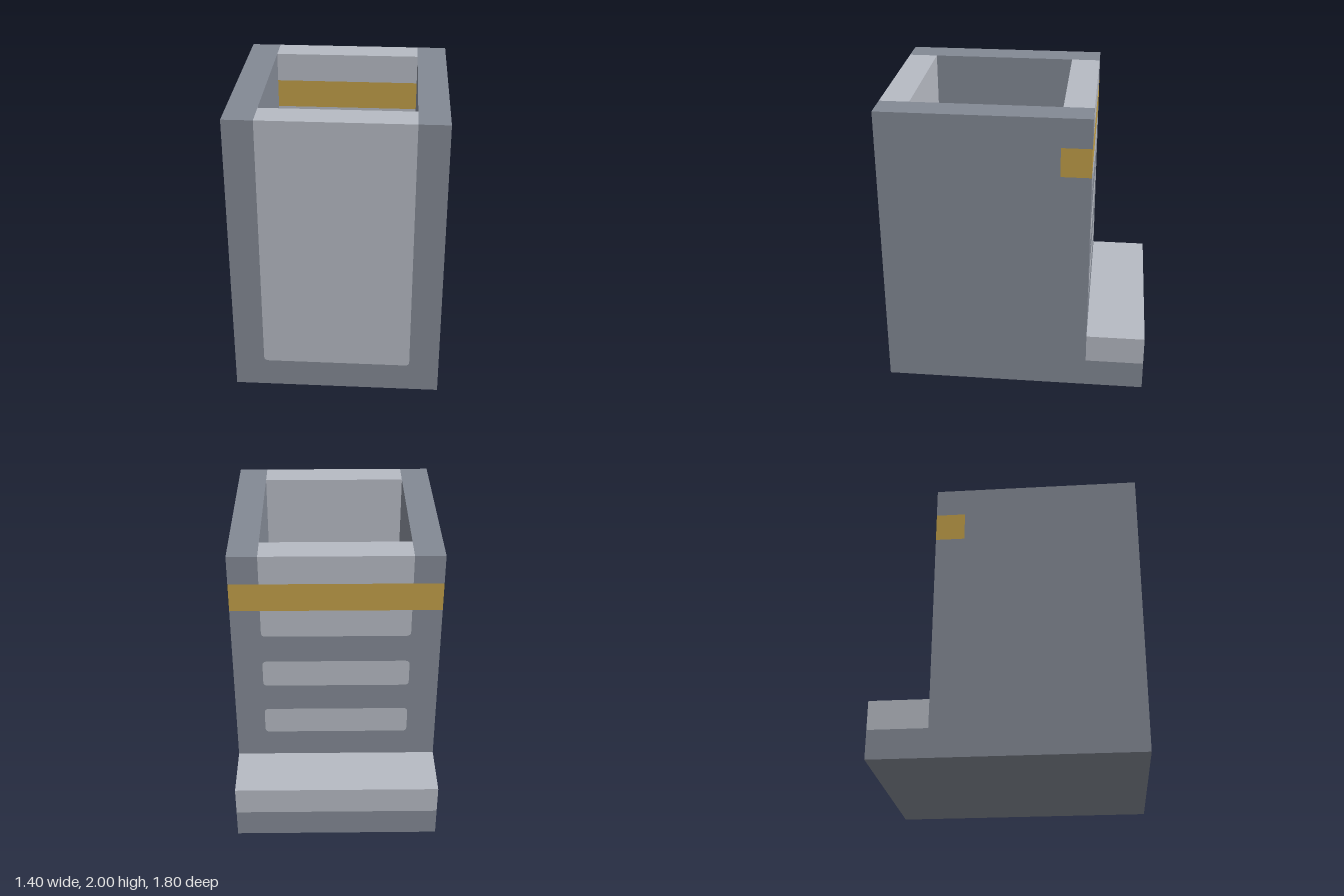
import * as THREE from 'three';

const DEPTH = 0.2; // wall thickness
const R = 0.03;    // rounding of the inlay corners

const stone = new THREE.MeshStandardMaterial({ color: 0x838994 });
stone.name = 'dark stone';
const pale = new THREE.MeshStandardMaterial({ color: 0xb6bac3 });
pale.name = 'pale stone';
const gold = new THREE.MeshStandardMaterial({ color: 0xc09e48 });
gold.name = 'gold';

// Outline of a pale inlay; open inlays have square top corners
function inlay(path, y0, y1, open) {
  const x = 0.5;
  const t = open ? 0 : R;
  path.moveTo(-x + R, y0);
  path.lineTo(x - R, y0);
  path.quadraticCurveTo(x, y0, x, y0 + R);
  path.lineTo(x, y1 - t);
  if (!open) path.quadraticCurveTo(x, y1, x - R, y1);
  path.lineTo(-x + t, y1);
  if (!open) path.quadraticCurveTo(-x, y1, -x, y1 - R);
  path.lineTo(-x, y0 + R);
  path.quadraticCurveTo(-x, y0, -x + R, y0);
  return path;
}

// Dark wall outline with a rounded notch open at the top
function notchedWall(top, notch) {
  const s = new THREE.Shape();
  s.moveTo(-0.7, 0);
  s.lineTo(0.7, 0);
  s.lineTo(0.7, top);
  s.lineTo(0.5, top);
  s.lineTo(0.5, notch + R);
  s.quadraticCurveTo(0.5, notch, 0.5 - R, notch);
  s.lineTo(-0.5 + R, notch);
  s.quadraticCurveTo(-0.5, notch, -0.5, notch + R);
  s.lineTo(-0.5, top);
  s.lineTo(-0.7, top);
  s.closePath();
  return s;
}

export function createModel() {
  const model = new THREE.Group();
  model.name = 'hollowTower';

  const add = (name, geometry, material) => {
    const mesh = new THREE.Mesh(geometry, material);
    mesh.name = name;
    model.add(mesh);
    return mesh;
  };
  // Box given by its limits on each axis
  const box = (name, material, [x0, x1], [y0, y1], [z0, z1]) =>
    add(name, new THREE.BoxGeometry(x1 - x0, y1 - y0, z1 - z0), material)
      .position.set((x0 + x1) / 2, (y0 + y1) / 2, (z0 + z1) / 2);
  // Wall piece extruded forward from z
  const slab = (name, material, shape, z) =>
    add(name, new THREE.ExtrudeGeometry(shape, { depth: DEPTH, bevelEnabled: false, curveSegments: 4 }), material)
      .position.z = z;

  // Floor and side walls
  box('floor', stone, [-0.5, 0.5], [0, 0.2], [-0.3, 0.7]);
  box('leftWall', stone, [0.5, 0.7], [0, 2], [-0.3, 0.7]);
  box('rightWall', stone, [-0.7, -0.5], [0, 2], [-0.3, 0.7]);

  // Front wall with its tall pale panel
  slab('frontWall', stone, notchedWall(2, 0.2), 0.7);
  slab('frontPanel', pale, inlay(new THREE.Shape(), 0.2, 2, true), 0.7);

  // Back wall with pale bars
  const back = notchedWall(1.6, 1.4);
  for (const y of [0.2, 0.6, 1.0]) {
    back.holes.push(inlay(new THREE.Path(), y, y + 0.2, false));
    slab('backBar', pale, inlay(new THREE.Shape(), y, y + 0.2, false), -0.5);
  }
  slab('backWall', stone, back, -0.5);
  slab('upperBackBar', pale, inlay(new THREE.Shape(), 1.4, 1.6, true), -0.5);

  // Gold band and the rim above it
  box('goldBand', gold, [-0.7, 0.7], [1.6, 1.8], [-0.5, -0.3]);
  box('backRim', pale, [-0.5, 0.5], [1.8, 2], [-0.5, -0.3]);
  box('leftRimCorner', stone, [0.5, 0.7], [1.8, 2], [-0.5, -0.3]);
  box('rightRimCorner', stone, [-0.7, -0.5], [1.8, 2], [-0.5, -0.3]);

  // Step behind the tower
  box('stepBase', stone, [-0.7, 0.7], [0, 0.2], [-0.9, -0.5]);
  box('stepTop', pale, [-0.7, 0.7], [0.2, 0.4], [-0.9, -0.5]);

  return model;
}
